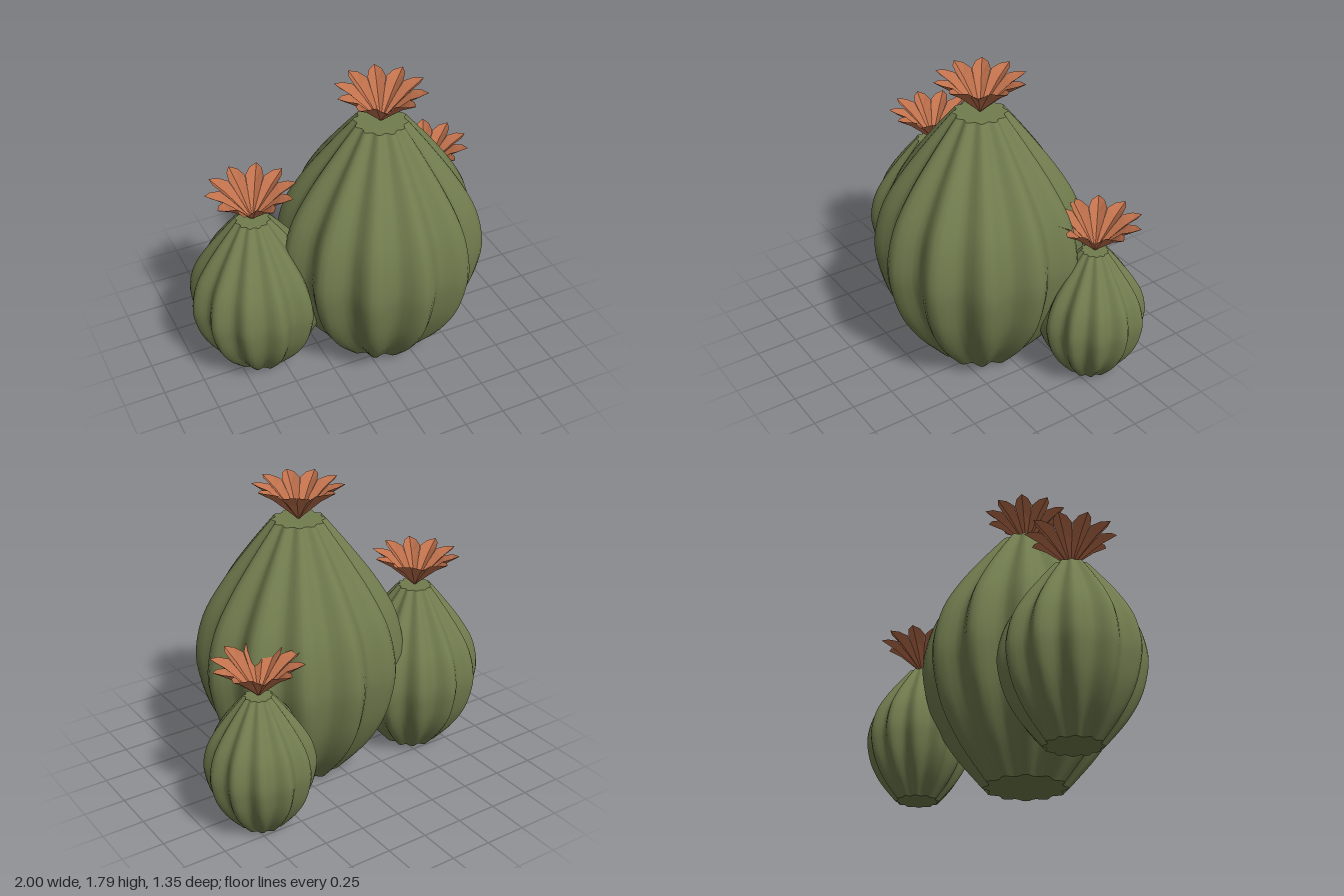
import * as THREE from 'three';
import { mergeVertices } from 'three/addons/utils/BufferGeometryUtils.js';

const RIBS = 12, PETALS = 10, SEGMENTS = 96;

const green = new THREE.MeshStandardMaterial({ color: 0x717c4e });
green.name = 'cactusGreen';
const orange = new THREE.MeshStandardMaterial({ color: 0xc0714c, side: THREE.DoubleSide, flatShading: true });
orange.name = 'petalOrange';

// Rib-tip radius and height of the full-size body
const PROFILE = [
  [0.25, 0], [0.42, 0.2], [0.537, 0.4], [0.597, 0.6], [0.612, 0.78],
  [0.562, 1.0], [0.452, 1.2], [0.305, 1.4], [0.155, 1.585],
];
const HEIGHT = 1.585;

// Press the grooves between the ribs into a round geometry
function flute(geometry) {
  const p = geometry.attributes.position;
  for (let i = 0; i < p.count; i++) {
    const x = p.getX(i), z = p.getZ(i);
    const f = 0.932 + 0.068 * Math.cos(RIBS * Math.atan2(x, z));
    p.setX(i, x * f);
    p.setZ(i, z * f);
  }
  geometry.deleteAttribute('uv');
  geometry.deleteAttribute('normal');
  const merged = mergeVertices(geometry, 1e-5);
  merged.computeVertexNormals();
  return merged;
}

function bodyGeometry() {
  const curve = new THREE.SplineCurve(PROFILE.map(([r, y]) => new THREE.Vector2(r, y)));
  return flute(new THREE.LatheGeometry(curve.getPoints(32), SEGMENTS));
}

function capGeometry([radius, y], up) {
  const g = new THREE.CircleGeometry(radius, SEGMENTS);
  g.rotateX(up ? -Math.PI / 2 : Math.PI / 2);
  g.translate(0, y, 0);
  return flute(g);
}

// One keeled petal: distance out, keel height, half width, edge height
function petalGeometry() {
  const sections = [
    [0.004, 0, 0.003, 0.004], [0.1, 0.085, 0.033, 0.115], [0.165, 0.142, 0.052, 0.184],
    [0.22, 0.178, 0.036, 0.2], [0.262, 0.206, 0, 0.206],
  ];
  const positions = [], index = [];
  sections.forEach(([out, keel, half, edge], i) => {
    positions.push(out, edge, half, out, keel, 0, out, edge, -half);
    if (i === 0) return;
    for (let j = 0; j < 2; j++) {
      const a = (i - 1) * 3 + j, b = a + 3;
      index.push(a, b, a + 1);
      if (i < sections.length - 1 || j === 0) index.push(b, b + 1, a + 1);
      else index.push(b + 1, a + 1, b);
    }
  });
  const g = new THREE.BufferGeometry();
  g.setAttribute('position', new THREE.Float32BufferAttribute(positions, 3));
  g.setIndex(index);
  g.computeVertexNormals();
  return g;
}

export function createModel() {
  const model = new THREE.Group();
  model.name = 'cactusCluster';

  const body = bodyGeometry();
  const bottom = capGeometry(PROFILE[0], false);
  const top = capGeometry(PROFILE[PROFILE.length - 1], true);
  const petal = petalGeometry();

  const addMesh = (parent, geometry, material, name) => {
    const mesh = new THREE.Mesh(geometry, material);
    mesh.name = name;
    parent.add(mesh);
    return mesh;
  };

  // Cacti differ in size, but every flower is the same size
  const addCactus = (name, x, z, width, height, turn) => {
    const cactus = new THREE.Group();
    cactus.name = name;
    cactus.position.set(x, 0, z);
    const stem = new THREE.Group();
    stem.name = 'stem';
    stem.scale.set(width, height, width);
    addMesh(stem, body, green, 'ribbedBody');
    addMesh(stem, bottom, green, 'base');
    addMesh(stem, top, green, 'crown');

    const flower = new THREE.Group();
    flower.name = 'flower';
    flower.position.y = HEIGHT * height;
    flower.rotation.y = THREE.MathUtils.degToRad(turn);
    for (let i = 0; i < PETALS; i++) {
      addMesh(flower, petal, orange, 'petal').rotation.y = (i / PETALS) * Math.PI * 2;
    }
    cactus.add(stem, flower);
    model.add(cactus);
  };

  addCactus('largeCactus', 0.14, 0.06, 1, 1, 0);
  addCactus('mediumCactus', -0.597, -0.08, 0.66, 0.66, 25);
  addCactus('smallCactus', 0.68, -0.363, 0.515, 0.517, -5);
  return model;
}
